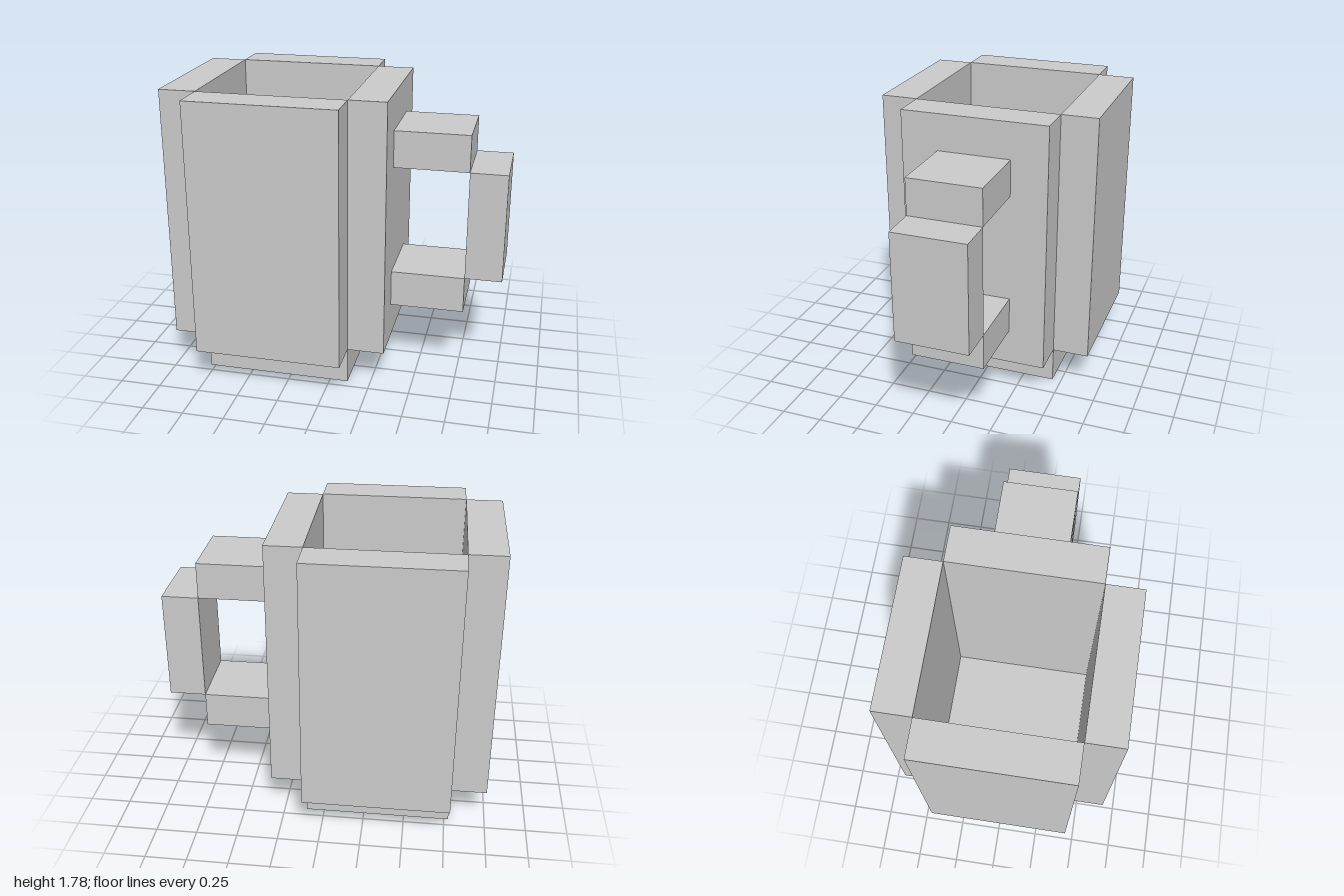
import * as THREE from 'three';

// The whole mug sits on a grid of cubes, nine of them along the longest side
const U = 2 / 9;

export function createModel() {
  const mug = new THREE.Group();
  mug.name = 'mug';
  const material = new THREE.MeshStandardMaterial({ color: 0xcccccc, flatShading: true });

  // Adds a box given its size and centre in grid units
  function addBox(name, [w, h, d], [x, y, z], parent = mug) {
    const mesh = new THREE.Mesh(new THREE.BoxGeometry(w * U, h * U, d * U), material);
    mesh.position.set(x * U, y * U, z * U);
    mesh.name = name;
    parent.add(mesh);
  }

  // Base slab, its top is the floor inside the mug
  const cx = -1.5;
  addBox('base', [4, 1, 4], [cx, 0.5, 0]);

  // Four walls around the base, meeting only along their corner edges
  for (const s of [-1, 1]) {
    addBox(s > 0 ? 'leftWall' : 'rightWall', [1, 7, 4], [cx + s * 2.5, 4.5, 0]);
    addBox(s > 0 ? 'frontWall' : 'backWall', [4, 7, 1], [cx, 4.5, s * 2.5]);
  }

  // Handle: two arms and an upright grip
  const handle = new THREE.Group();
  handle.name = 'handle';
  mug.add(handle);
  addBox('lowerArm', [2, 1, 2], [2.5, 2.5, 0], handle);
  addBox('upperArm', [2, 1, 2], [2.5, 6.5, 0], handle);
  addBox('grip', [1, 3, 2], [4, 4.5, 0], handle);

  return mug;
}
